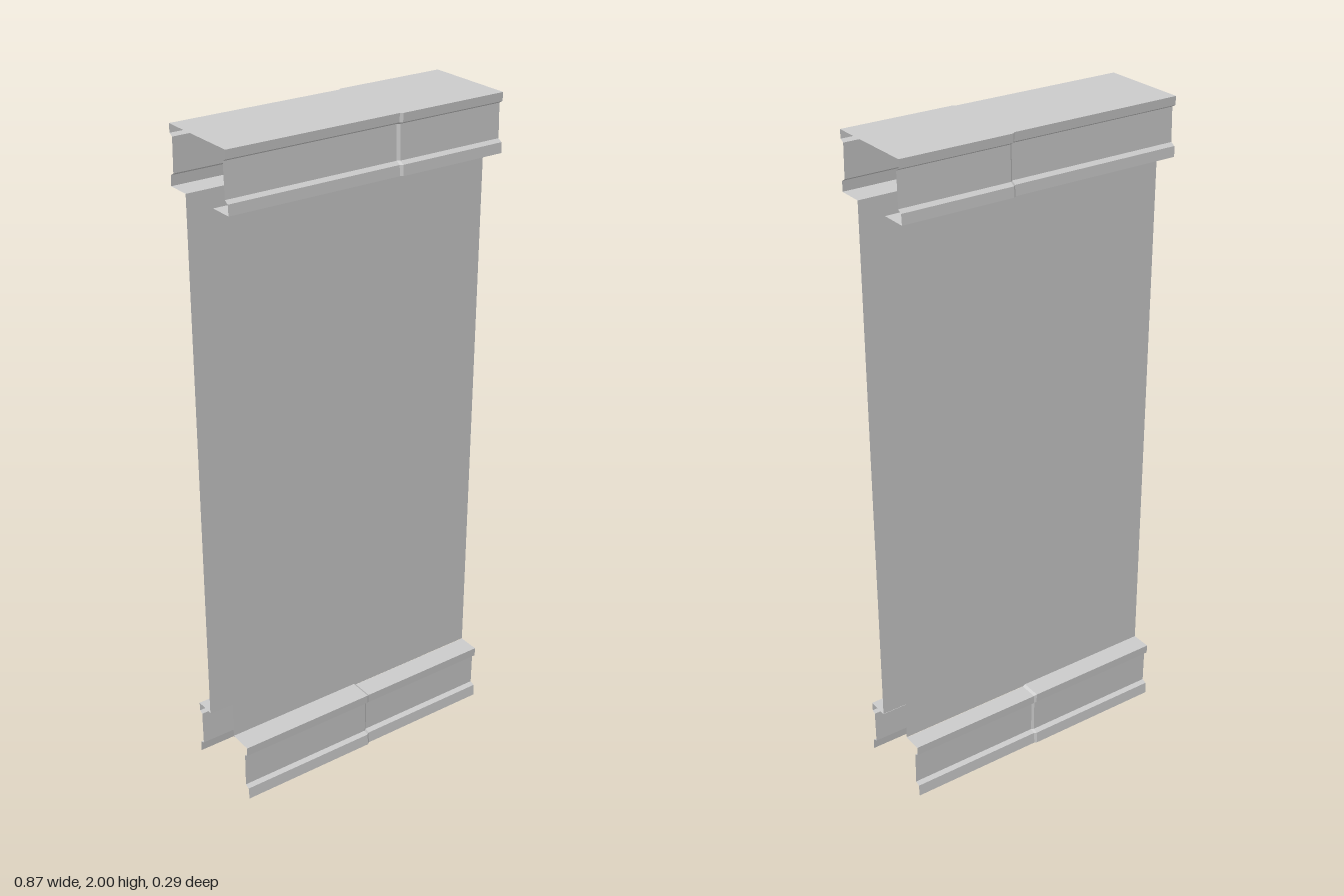
import * as THREE from 'three';

const material = new THREE.MeshStandardMaterial({ color: 0xcccccc, flatShading: true, side: THREE.DoubleSide });
const HALF = 0.437;   // half length of the wall
const WALL_Z = 0.067; // distance of each wall face from the middle

// Sheet swept along x; each section is { x, points: [[z, y], ...] }
function sweep(name, sections) {
  const pos = [], index = [];
  const n = sections[0].points.length;
  for (const { x, points } of sections) for (const [z, y] of points) pos.push(x, y, z);
  for (let s = 0; s < sections.length - 1; s++) {
    for (let i = 0; i < n - 1; i++) {
      const a = s * n + i, b = a + 1, c = a + n, d = c + 1;
      index.push(a, b, c, b, d, c);
    }
  }
  const geo = new THREE.BufferGeometry();
  geo.setAttribute('position', new THREE.Float32BufferAttribute(pos, 3));
  geo.setIndex(index);
  const flat = geo.toNonIndexed();
  flat.computeVertexNormals();
  const mesh = new THREE.Mesh(flat, material);
  mesh.name = name;
  return mesh;
}

// Half of the cornice, from the soffit at the wall up to the cap; w is the reach of the lower lip
const corniceHalf = (w, side) => [
  [WALL_Z, 1.832], [w, 1.832], [w - 0.002, 1.862], [w - 0.015, 1.87],
  [w - 0.018, 1.968], [w - 0.006, 1.975], [w - 0.005, 2],
].map(([z, y]) => [z * side, y]);

// Half of the plinth, from the ledge at the wall down to the foot
const plinthHalf = (w, side, ledge) => [
  [WALL_Z, ledge], [w - 0.004, ledge], [w - 0.005, ledge - 0.028], [w - 0.017, ledge - 0.034],
  [w - 0.018, 0.042], [w - 0.003, 0.036], [w, 0],
].map(([z, y]) => [z * side, y]);

// Two lengths of different reach, joined by a narrow sloping step
const stations = (stepStart, stepEnd, left, right) => [
  { x: -HALF, points: left }, { x: stepStart, points: left },
  { x: stepEnd, points: right }, { x: HALF, points: right },
];

export function createModel() {
  const group = new THREE.Group();
  group.name = 'wallSection';

  // Cornice with its flat cap, open at both ends
  const cornice = (front, back) => [...corniceHalf(front, 1), ...corniceHalf(back, -1).reverse()];
  group.add(sweep('cornice', stations(0.092, 0.1, cornice(0.139, 0.14), cornice(0.144, 0.147))));

  for (const [label, side, left, right] of [['front', 1, 0.144, 0.138], ['back', -1, 0.134, 0.13]]) {
    // Tall plain wall face
    const wall = [[WALL_Z * side, 0.182], [WALL_Z * side, 1.832]];
    group.add(sweep(label + 'Wall', [{ x: -HALF, points: wall }, { x: HALF, points: wall }]));
    // Stepped plinth
    group.add(sweep(label + 'Plinth', stations(0.003, 0.011,
      plinthHalf(left, side, 0.186), plinthHalf(right, side, 0.181))));
  }
  return group;
}
